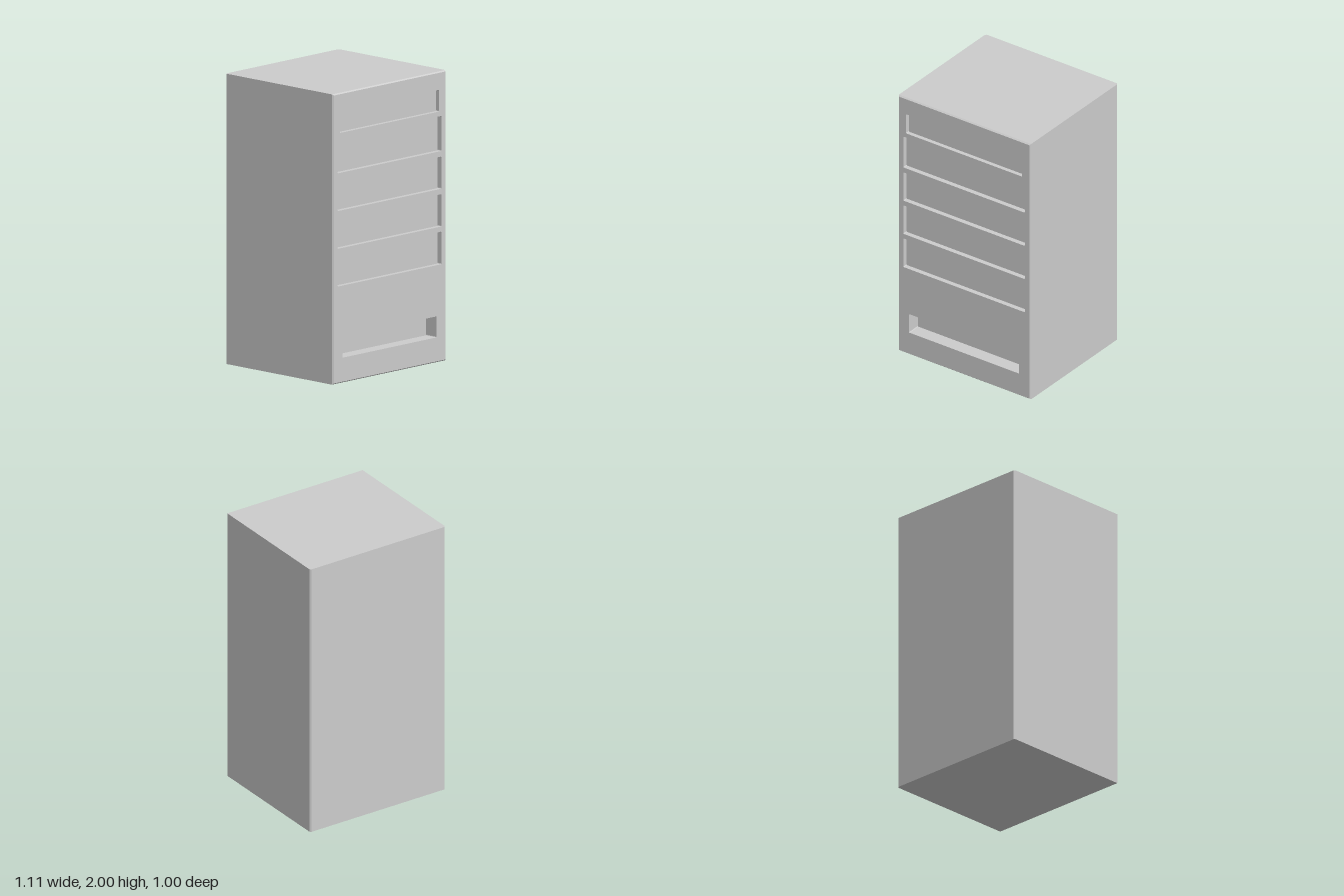
import * as THREE from 'three';

const W = 0.553, H = 2, FRONT = 0.5, FACE = 0.1, EDGE = 0.01;

// Recesses in the front: half width, bottom, top, depth
const recesses = [
  ['headerRecess', 0.485, 1.725, 1.875, 0.03],
  ['shelfRecess1', 0.507, 1.45, 1.692, 0.035],
  ['shelfRecess2', 0.507, 1.19, 1.412, 0.035],
  ['shelfRecess3', 0.507, 0.93, 1.153, 0.035],
  ['shelfRecess4', 0.507, 0.67, 0.895, 0.035],
  ['dispenserSlot', 0.46, 0.173, 0.318, FACE],
];

// Rectangle path with small rounded corners
function roundedRect(w, y0, y1, r) {
  const p = new THREE.Path();
  p.moveTo(-w + r, y0).lineTo(w - r, y0).quadraticCurveTo(w, y0, w, y0 + r);
  p.lineTo(w, y1 - r).quadraticCurveTo(w, y1, w - r, y1);
  p.lineTo(-w + r, y1).quadraticCurveTo(-w, y1, -w, y1 - r);
  p.lineTo(-w, y0 + r).quadraticCurveTo(-w, y0, -w + r, y0);
  return p;
}

export function createModel() {
  const group = new THREE.Group();
  const material = new THREE.MeshStandardMaterial({ color: 0xcccccc });
  const add = (name, geometry) => {
    const mesh = new THREE.Mesh(geometry, material);
    mesh.name = name;
    group.add(mesh);
    return mesh;
  };

  // Cabinet: plan outline with eased back corners, raised to full height
  const back = FRONT - FACE;
  const plan = new THREE.Shape([
    [-W, -back], [W, -back], [W, 0.5 - EDGE], [W - EDGE, 0.5], [-W + EDGE, 0.5], [-W, 0.5 - EDGE],
  ].map(([x, y]) => new THREE.Vector2(x, y)));
  const cabinet = new THREE.ExtrudeGeometry(plan, { depth: H, bevelEnabled: false });
  cabinet.rotateX(-Math.PI / 2);
  add('cabinet', cabinet);

  // Front panel with the recesses cut through it
  const outline = new THREE.Shape([[-W, 0], [W, 0], [W, H], [-W, H]].map(([x, y]) => new THREE.Vector2(x, y)));
  for (const [, w, y0, y1] of recesses) outline.holes.push(roundedRect(w, y0, y1, 0.006));
  const panel = new THREE.ExtrudeGeometry(outline, {
    depth: FACE, steps: FACE / EDGE, bevelEnabled: false, curveSegments: 3,
  });
  panel.translate(0, 0, back);

  // Ease the outer front edge by pulling in its last ring
  const pos = panel.attributes.position;
  for (let i = 0; i < pos.count; i++) {
    if (pos.getZ(i) < FRONT - EDGE / 2) continue;
    const x = pos.getX(i), y = pos.getY(i);
    if (Math.abs(x) > W - 0.001) pos.setX(i, x - Math.sign(x) * EDGE * 0.8);
    if (y < 0.001) pos.setY(i, EDGE * 0.8);
    if (y > H - 0.001) pos.setY(i, H - EDGE * 0.8);
  }
  panel.computeVertexNormals();
  add('frontPanel', panel);

  // Back faces of the shallow recesses (the slot ends on the cabinet itself)
  for (const [name, w, y0, y1, depth] of recesses) {
    if (depth >= FACE) continue;
    add(name, new THREE.PlaneGeometry(2 * w, y1 - y0)).position.set(0, (y0 + y1) / 2, FRONT - depth);
  }
  return group;
}
